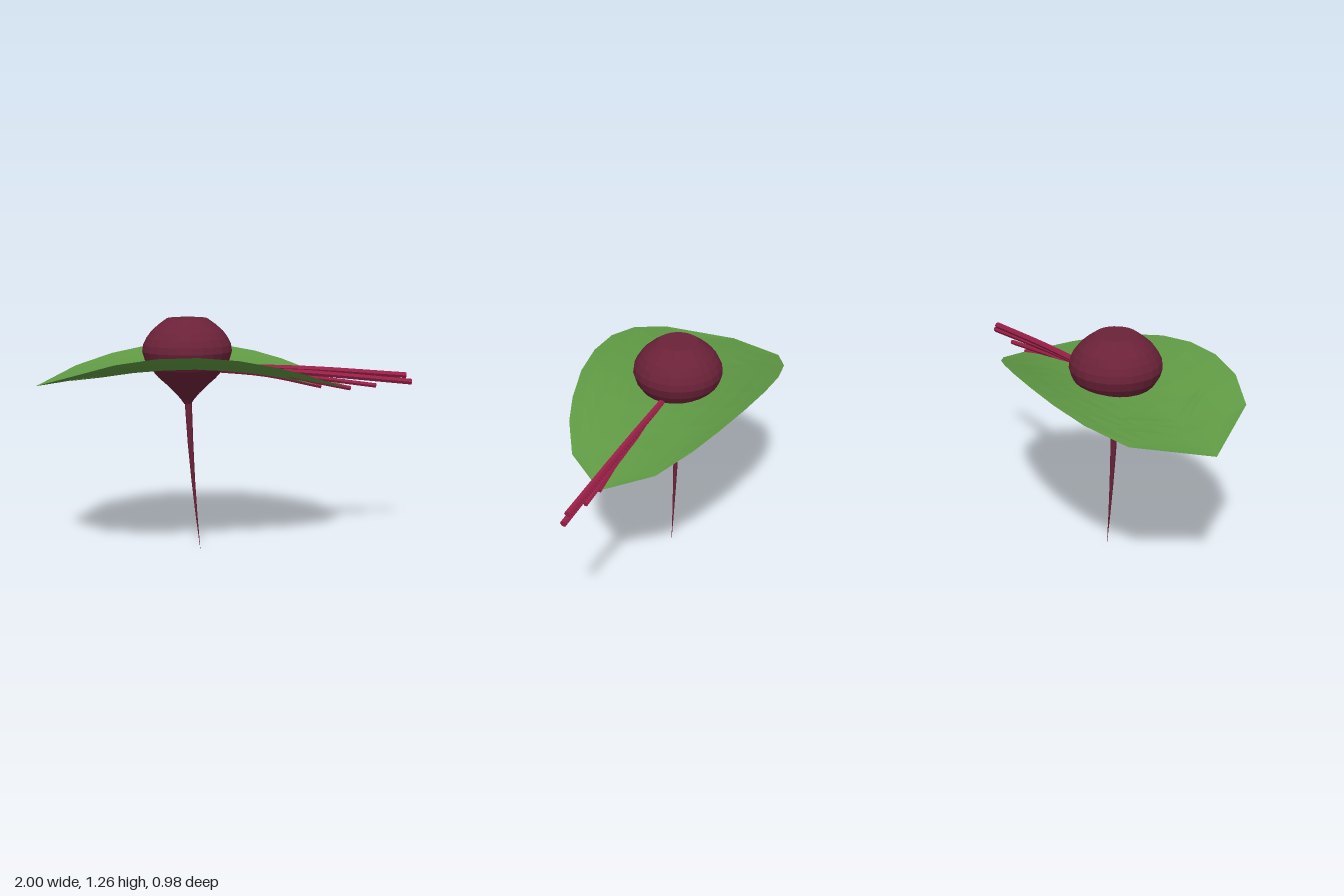
import * as THREE from 'three';

const material = (name, color, side = THREE.FrontSide) => {
  const m = new THREE.MeshStandardMaterial({ color, side, flatShading: true });
  m.name = name;
  return m;
};

// Half-width of a leaf blade at stations from its tip (0) to its stalk end (1)
const OUTLINE = [[0, 0], [0.12, 0.71], [0.24, 0.92], [0.36, 1], [0.48, 1], [0.6, 0.94],
  [0.72, 0.82], [0.81, 0.69], [0.915, 0.46], [1, 0]];

// Arched blade, dished across its width; the back half twists a little along its length
function leafGeometry({ tip, end, half, peak, arch, tilt }) {
  const across = 10;
  const positions = [], index = [];
  OUTLINE.forEach(([t, w], i) => {
    const x = tip + (end - tip) * t;
    for (let j = 0; j <= across; j++) {
      const z = (j / (across / 2) - 1) * w * half;
      const lift = z > 0 ? 0.44 : 0.42 + 0.25 * x;
      positions.push(x, peak - arch * (x + 0.25) ** 2 + lift * z * z + tilt * z, z);
      if (i && j) {
        const d = i * (across + 1) + j, c = d - 1, b = d - across - 1, a = b - 1;
        index.push(a, c, b, b, c, d);
      }
    }
  });
  const g = new THREE.BufferGeometry();
  g.setAttribute('position', new THREE.Float32BufferAttribute(positions, 3));
  g.setIndex(index);
  g.computeVertexNormals();
  return g;
}

export function createModel() {
  const model = new THREE.Group();
  const skin = material('beet skin', 0x6b2239);
  const stalk = material('stalk red', 0x9b2048);
  const green = material('leaf green', 0x5f9944, THREE.DoubleSide);
  const add = (name, geometry, mat) => {
    const mesh = new THREE.Mesh(geometry, mat);
    mesh.name = name;
    model.add(mesh);
    return mesh;
  };

  // Round bulb with a flat crown
  const bulb = [[0.018, 0.81], [0.035, 0.835], [0.065, 0.87], [0.105, 0.91], [0.15, 0.95],
    [0.193, 1], [0.222, 1.045], [0.235, 1.09], [0.23, 1.125], [0.213, 1.16], [0.187, 1.195],
    [0.147, 1.23], [0.105, 1.26], [0, 1.26]].map(([r, y]) => new THREE.Vector2(r, y));
  add('bulb', new THREE.LatheGeometry(bulb, 24), skin).position.x = -0.215;

  // Thin tap root, bent towards +x as it goes down
  const taper = [[0, 0], [0.005, 0.2], [0.01, 0.4], [0.015, 0.6], [0.019, 0.83]]
    .map(([r, y]) => new THREE.Vector2(r, y));
  const root = new THREE.LatheGeometry(taper, 8);
  const p = root.attributes.position;
  for (let i = 0; i < p.count; i++) {
    const drop = 1 - p.getY(i) / 0.83;
    p.setX(i, p.getX(i) - 0.212 + 0.03 * drop + 0.032 * drop * drop);
  }
  root.computeVertexNormals();
  add('tapRoot', root, skin);

  // Nested leaves, tilted slightly to either side
  [
    { tip: -1, end: 0.66, half: 0.49, peak: 1, arch: 0.148, tilt: 0 },
    { tip: -0.82, end: 0.5, half: 0.445, peak: 1.003, arch: 0.19, tilt: -0.03 },
    { tip: -0.76, end: 0.62, half: 0.375, peak: 1.005, arch: 0.165, tilt: 0.03 },
    { tip: -0.7, end: 0.53, half: 0.42, peak: 1.008, arch: 0.18, tilt: 0.01 },
  ].forEach((leaf, i) => add(`leaf${i + 1}`, leafGeometry(leaf), green));

  // Bundle of stalks: start height, middle and end points
  [
    [1.005, 0.4, 0.987, -0.006, 0.965, 0.943, -0.006],
    [1, 0.4, 0.968, 0, 0.995, 0.908, 0],
    [0.995, 0.4, 0.945, -0.004, 0.8, 0.89, -0.004],
    [0.99, 0.25, 0.958, 0.002, 0.66, 0.878, 0],
    [0.99, 0.2, 0.958, -0.004, 0.5, 0.892, 0],
  ].forEach(([sy, mx, my, mz, ex, ey, ez], i) => {
    const path = new THREE.CatmullRomCurve3([
      new THREE.Vector3(-0.1, sy, 0),
      new THREE.Vector3(mx, my, mz),
      new THREE.Vector3(ex, ey, ez),
    ]);
    const r = i < 2 ? 0.017 : 0.013;
    add(`stalk${i + 1}`, new THREE.TubeGeometry(path, 8, r, 6), stalk);
    // Cut end of the stalk
    const cap = add(`stalkEnd${i + 1}`, new THREE.CircleGeometry(r, 6), stalk);
    cap.position.set(ex, ey, ez);
    cap.lookAt(cap.position.clone().add(path.getTangent(1)));
  });

  return model;
}
